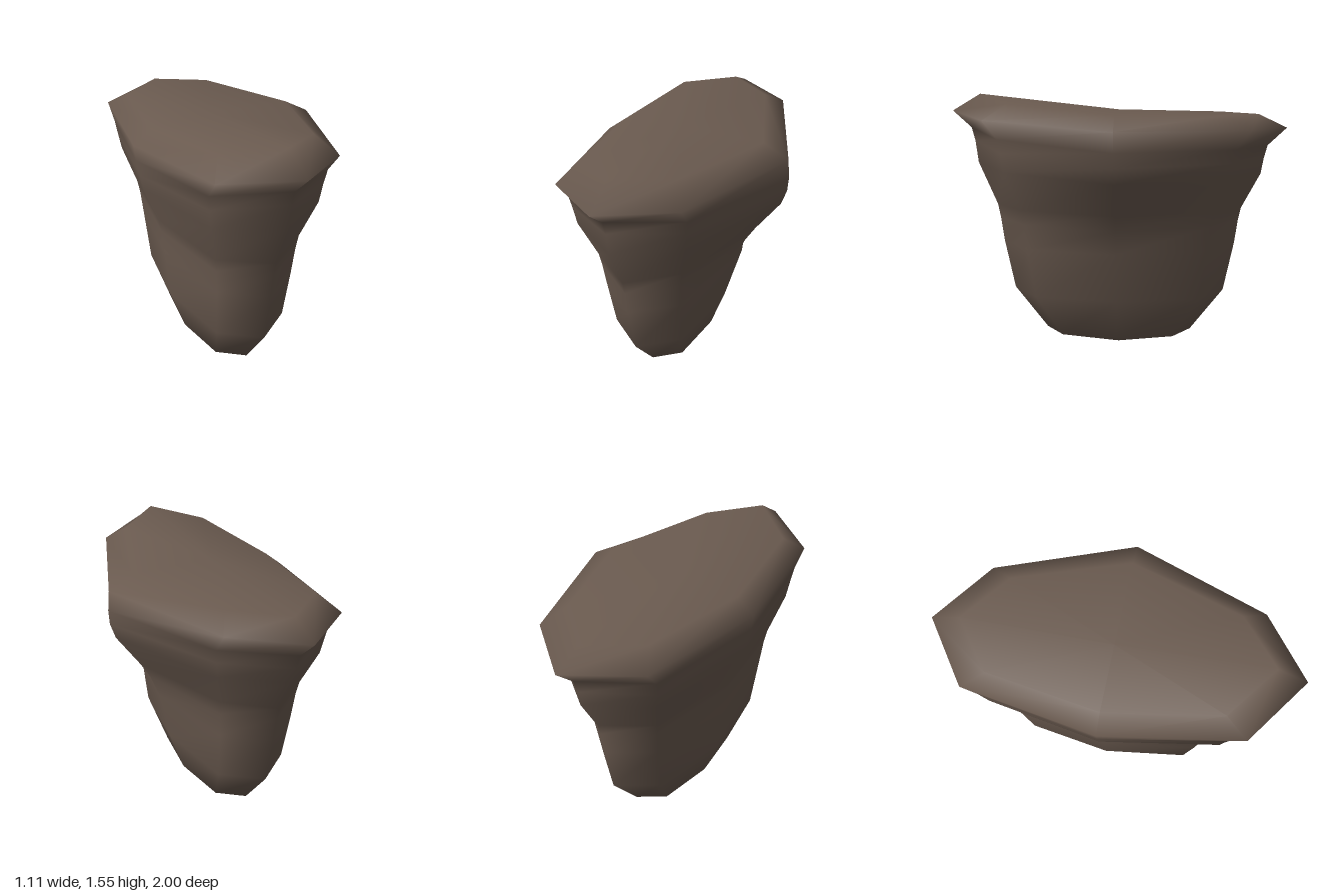
import * as THREE from 'three';

const AXIS_X = -0.085; // the body's core sits slightly off centre
const D = 0.75;        // how far the diagonal corners reach

// Cross-sections from bottom to top:
// [left x, right x, half depth, y at -x side, y at +x side, y at front, y at back]
const SECTIONS = [
  [-0.28, 0.11, 0.45, 0.09, 0.09, 0.09, 0.09],
  [-0.37, 0.20, 0.65, 0.35, 0.35, 0.35, 0.35],
  [-0.395, 0.26, 0.71, 0.65, 0.65, 0.65, 0.65],
  [-0.41, 0.32, 0.73, 0.79, 0.80, 0.80, 0.80],
  [-0.425, 0.38, 0.745, 0.87, 0.90, 0.88, 0.87],
  [-0.505, 0.52, 0.855, 1.08, 1.10, 1.14, 1.08],
  [-0.525, 0.55, 0.87, 1.17, 1.19, 1.27, 1.17],
  [-0.54, 0.555, 0.89, 1.26, 1.27, 1.35, 1.25],
  [-0.55, 0.545, 1.0, 1.35, 1.38, 1.45, 1.355], // rim
  [-0.445, 0.40, 0.83, 1.43, 1.455, 1.55, 1.435], // bevelled top edge
];

// Eight corners of one section, turning from +x towards +z
function ring([xl, xr, d, yl, yr, yf, yb]) {
  const w = (AXIS_X - xl) * D; // diagonals are symmetric; only the +x corner bulges
  const mid = (a, b) => (a + b) / 2;
  return [
    [xr, yr, 0],
    [AXIS_X + w, mid(yr, yf), d * D],
    [AXIS_X, yf, d],
    [AXIS_X - w, mid(yl, yf), d * D],
    [xl, yl, 0],
    [AXIS_X - w, mid(yl, yb), -d * D],
    [AXIS_X, yb, -d],
    [AXIS_X + w, mid(yr, yb), -d * D],
  ];
}

function bodyGeometry() {
  const N = 8;
  const points = SECTIONS.flatMap(ring);
  const bottom = points.push([AXIS_X, 0, 0]) - 1;
  const top = points.push([AXIS_X, 1.46, 0]) - 1;
  const last = (SECTIONS.length - 1) * N;
  const index = [];
  for (let i = 0; i < N; i++) {
    const j = (i + 1) % N;
    // walls
    for (let r = 0; r < last; r += N) {
      index.push(r + i, r + N + i, r + j, r + j, r + N + i, r + N + j);
    }
    // closing fans
    index.push(bottom, i, j);
    index.push(top, last + j, last + i);
  }
  const geometry = new THREE.BufferGeometry();
  geometry.setAttribute('position', new THREE.Float32BufferAttribute(points.flat(), 3));
  geometry.setIndex(index);
  geometry.computeVertexNormals();
  return geometry;
}

export function createModel() {
  const group = new THREE.Group();
  group.name = 'rock';
  const material = new THREE.MeshStandardMaterial({ color: 0x6b5b50 });
  const body = new THREE.Mesh(bodyGeometry(), material);
  body.name = 'rockBody';
  group.add(body);
  return group;
}
